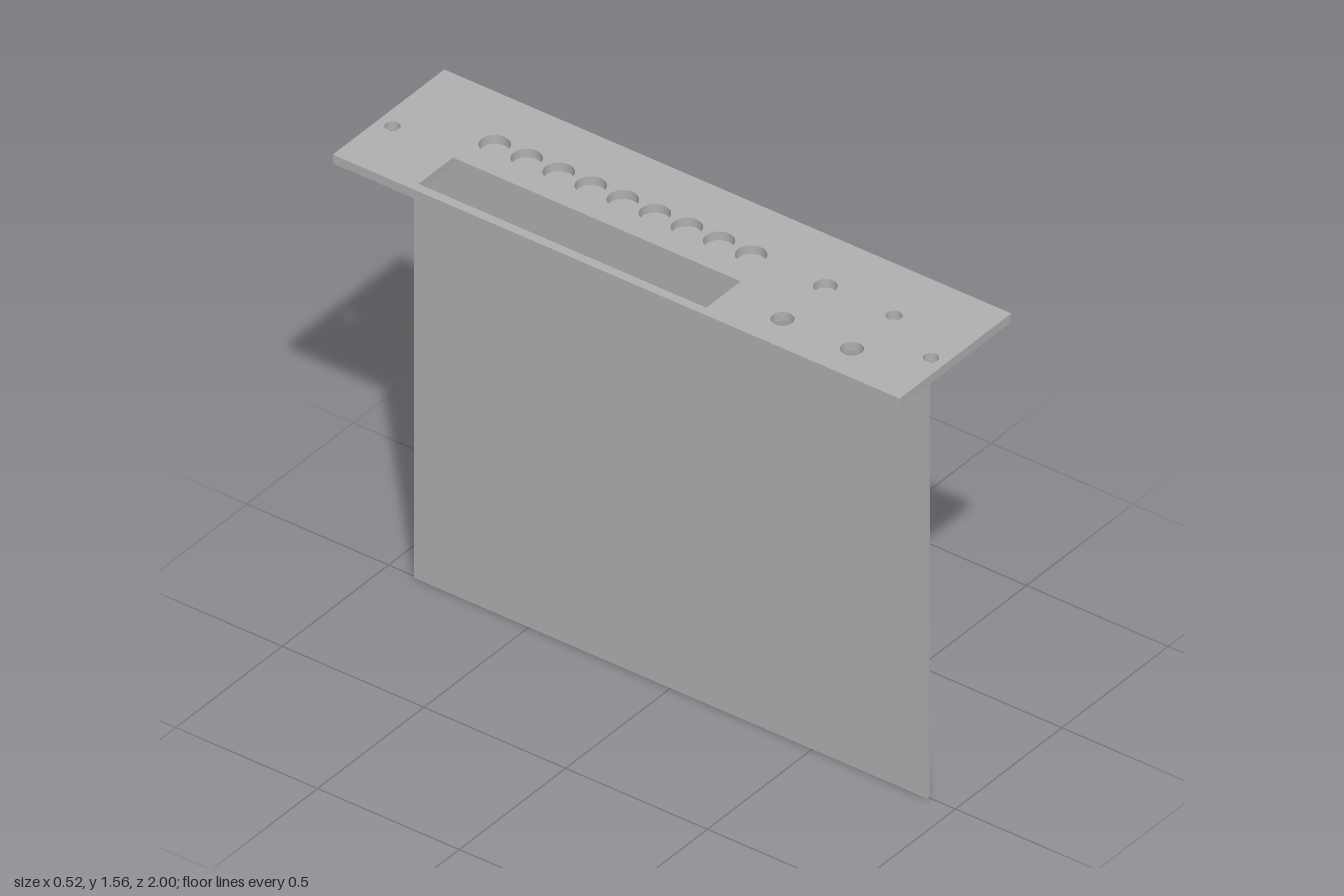
import * as THREE from 'three';

export function createModel() {
  const model = new THREE.Group();
  const grey = new THREE.MeshStandardMaterial({ color: 0xb0b0b0 });
  grey.name = 'grey';

  const add = (name, geometry) => {
    const mesh = new THREE.Mesh(geometry, grey);
    mesh.name = name;
    model.add(mesh);
  };
  // Box given by its limits on each axis
  const box = (name, x0, x1, y0, y1, z0, z1) => add(name,
    new THREE.BoxGeometry(x1 - x0, y1 - y0, z1 - z0)
      .translate((x0 + x1) / 2, (y0 + y1) / 2, (z0 + z1) / 2));

  // Rectangle in plan; shape y is -z
  const rectangle = (path, x0, x1, z0, z1) => path
    .moveTo(x0, -z0).lineTo(x0, -z1).lineTo(x1, -z1).lineTo(x1, -z0).closePath();

  // Face plate with a long slot, a row of round openings and screw holes
  const plate = new THREE.Shape();
  rectangle(plate, -0.262, 0.262, -1, 1);
  const slot = new THREE.Path();
  rectangle(slot, -0.232, -0.07, -0.72, 0.295);
  plate.holes.push(slot);

  const holes = [
    [-0.048, -0.95, 0.023], [-0.048, 0.95, 0.023], // mounting screws
    [-0.147, 0.5, 0.034], [-0.147, 0.745, 0.034],  // left pair
    [0.055, 0.5, 0.035], [0.055, 0.742, 0.024],    // right pair
  ];
  for (let i = 0; i < 9; i++) holes.push([0.053, -0.665 + i * 0.113, 0.046]);
  for (const [x, z, r] of holes) {
    plate.holes.push(new THREE.Path().absarc(x, -z, r, 0, Math.PI * 2, true));
  }
  add('facePlate', new THREE.ExtrudeGeometry(plate,
    { depth: 0.03, bevelEnabled: false, curveSegments: 20 })
    .rotateX(-Math.PI / 2).translate(0, 1.53, 0));

  // Upright board and the flange that closes the round openings from below
  box('board', -0.007, 0.006, 0, 1.53, -0.905, 0.905);
  box('flange', 0.006, 0.117, 1.517, 1.53, -0.905, 0.905);

  return model;
}
